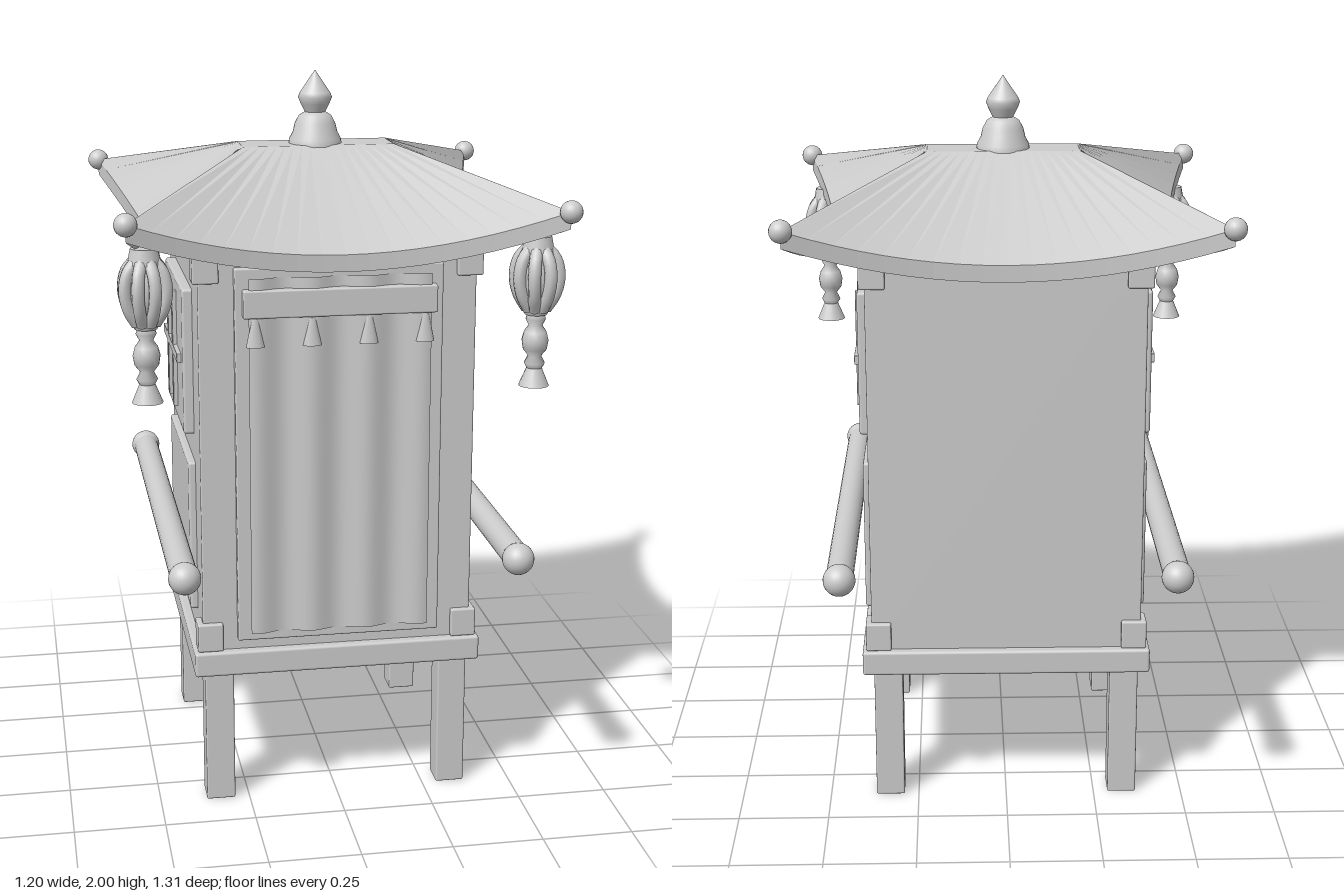
import * as THREE from 'three';
import { RoundedBoxGeometry } from 'three/addons/geometries/RoundedBoxGeometry.js';

const grey = new THREE.MeshStandardMaterial({ color: 0xcccccc });
grey.name = 'plain grey';

function add(parent, name, geometry, x = 0, y = 0, z = 0) {
  const mesh = new THREE.Mesh(geometry, grey);
  mesh.name = name;
  mesh.position.set(x, y, z);
  parent.add(mesh);
  return mesh;
}

// Box with slightly softened edges, placed by its centre
function block(parent, name, w, h, d, x, y, z, r = 0.005) {
  return add(parent, name, new RoundedBoxGeometry(w, h, d, 2, r), x, y, z);
}

function lathe(points, segments = 24) {
  return new THREE.LatheGeometry(points.map(p => new THREE.Vector2(...p)), segments);
}

// Hipped roof: ruled facets from a flat ridge to four sagging eaves
function roofGeometry() {
  const n = 18, thick = 0.045;
  const ring = (pointAt) => {
    const pts = [];
    for (let side = 0; side < 4; side++) {
      for (let i = 0; i < n; i++) {
        const [along, y, out] = pointAt(-1 + (2 * i) / n, side % 2 === 1);
        const [x, z] = [[along, out], [out, -along], [-along, -out], [-out, along]][side];
        pts.push([x, y, z]);
      }
    }
    return pts;
  };
  const ridge = (y) => (t, isSide) => isSide ? [0.063 * t, y, 0.21] : [0.21 * t, y, 0.063];
  const eave = (drop) => (t) => [0.57 * t, 1.575 + 0.11 * t * t - drop, 0.48 + 0.09 * t * t];
  const rings = [
    ring(ridge(1.8 - thick)), ring(eave(thick)), ring(eave(0)),
    ring(ridge(1.8)), ring(() => [0, 1.8, 0]),
  ];
  const pos = [];
  for (let k = 0; k < rings.length - 1; k++) {
    const [lo, hi] = [rings[k], rings[k + 1]];
    for (let i = 0; i < lo.length; i++) {
      const j = (i + 1) % lo.length;
      pos.push(...lo[i], ...lo[j], ...hi[j]);
      if (k < 3) pos.push(...lo[i], ...hi[j], ...hi[i]);
    }
  }
  const g = new THREE.BufferGeometry();
  g.setAttribute('position', new THREE.Float32BufferAttribute(pos, 3));
  g.computeVertexNormals();
  return g;
}

// Hanging ribbed lantern with beads and a bell-shaped tassel
function hangingLantern() {
  const g = new THREE.Group();
  g.name = 'hangingLantern';
  add(g, 'lanternCap', new THREE.CylinderGeometry(0.036, 0.044, 0.04, 16), 0, 1.585, 0);
  const core = add(g, 'lanternCore', new THREE.SphereGeometry(0.05, 16, 12), 0, 1.495, 0);
  core.scale.y = 1.7;
  const arc = new THREE.CatmullRomCurve3([
    [0.022, 1.575], [0.048, 1.545], [0.058, 1.5], [0.048, 1.45], [0.024, 1.41],
  ].map(([x, y]) => new THREE.Vector3(x, y, 0)));
  const rib = new THREE.TubeGeometry(arc, 14, 0.017, 8);
  for (let i = 0; i < 8; i++) {
    add(g, 'lanternRib', rib).rotation.y = (i + 0.5) * Math.PI / 4;
  }
  add(g, 'lanternFoot', new THREE.CylinderGeometry(0.038, 0.03, 0.02, 16), 0, 1.405, 0);
  add(g, 'tasselBeads', lathe([
    [0, 1.235], [0.016, 1.24], [0.028, 1.262], [0.018, 1.282], [0.032, 1.3],
    [0.036, 1.325], [0.03, 1.348], [0.018, 1.365], [0.027, 1.382], [0.022, 1.4], [0, 1.4],
  ], 16));
  add(g, 'tasselBell', new THREE.CylinderGeometry(0.018, 0.041, 0.055, 16), 0, 1.2275, 0);
  return g;
}

export function createModel() {
  const model = new THREE.Group();
  model.name = 'sedanChair';

  // Cabin and floor
  block(model, 'floorFrame', 0.8, 0.07, 0.8, 0, 0.425, 0, 0.008);
  block(model, 'cabin', 0.75, 1.14, 0.75, 0, 1.02, 0);

  // Legs and corner brackets
  for (const sx of [-1, 1]) {
    for (const sz of [-1, 1]) {
      block(model, 'leg', 0.08, 0.39, 0.08, 0.33 * sx, 0.2, 0.33 * sz);
      for (const y of [0.5, 1.53]) {
        block(model, 'cornerBracket', 0.07, 0.08, 0.07, 0.355 * sx, y, 0.355 * sz);
      }
    }
  }

  // Front doorway with a softly pleated curtain
  block(model, 'doorFrame', 0.56, 1.04, 0.04, 0, 1.01, 0.375);
  const pleats = new THREE.PlaneGeometry(0.49, 0.99, 64, 1);
  const p = pleats.attributes.position;
  for (let i = 0; i < p.count; i++) {
    p.setZ(i, -0.009 * Math.cos((p.getX(i) * 2 * Math.PI) / 0.15));
  }
  pleats.computeVertexNormals();
  add(model, 'curtain', pleats, 0, 1.01, 0.405);

  // Valance and its small tassels
  block(model, 'valance', 0.52, 0.075, 0.03, 0, 1.4375, 0.406);
  for (let i = 0; i < 4; i++) {
    add(model, 'valanceTassel', new THREE.CylinderGeometry(0.009, 0.025, 0.075, 12),
      -0.228 + 0.152 * i, 1.36, 0.41).scale.z = 0.6;
  }

  for (const s of [-1, 1]) {
    // Side window with crossing bars, and the panel under it
    block(model, 'windowPanel', 0.06, 0.405, 0.46, 0.373 * s, 1.2425, 0, 0.008);
    block(model, 'windowCrossbar', 0.02, 0.026, 0.38, 0.405 * s, 1.245, 0, 0.002);
    for (const z of [-0.065, 0.065]) {
      block(model, 'windowBar', 0.02, 0.33, 0.026, 0.405 * s, 1.245, z, 0.002);
    }
    block(model, 'lowerPanel', 0.05, 0.43, 0.5, 0.37 * s, 0.75, 0, 0.008);

    // Carrying pole with round ends
    const pole = add(model, 'carryingPole',
      new THREE.CylinderGeometry(0.0365, 0.0365, 1.21, 24), 0.445 * s, 0.765, 0);
    pole.rotation.x = Math.PI / 2;
    for (const e of [-1, 1]) {
      add(model, 'poleKnob', new THREE.SphereGeometry(0.043, 24, 16), 0.445 * s, 0.765, 0.612 * e);
      add(model, 'roofCornerBall', new THREE.SphereGeometry(0.03, 20, 14), 0.57 * s, 1.685, 0.57 * e);
    }

    // Lanterns under the front corners
    const lantern = hangingLantern();
    lantern.position.set(0.517 * s, 0, 0.457);
    model.add(lantern);
  }

  // Roof and finial
  add(model, 'roof', roofGeometry());
  add(model, 'finialBase', lathe([
    [0.074, 1.795], [0.072, 1.812], [0.062, 1.83], [0.056, 1.855], [0.045, 1.875], [0.028, 1.886], [0, 1.888],
  ], 32));
  add(model, 'finialTip', lathe([[0.026, 1.88], [0.04, 1.908], [0.047, 1.926], [0.042, 1.938], [0, 2]], 32));

  return model;
}
